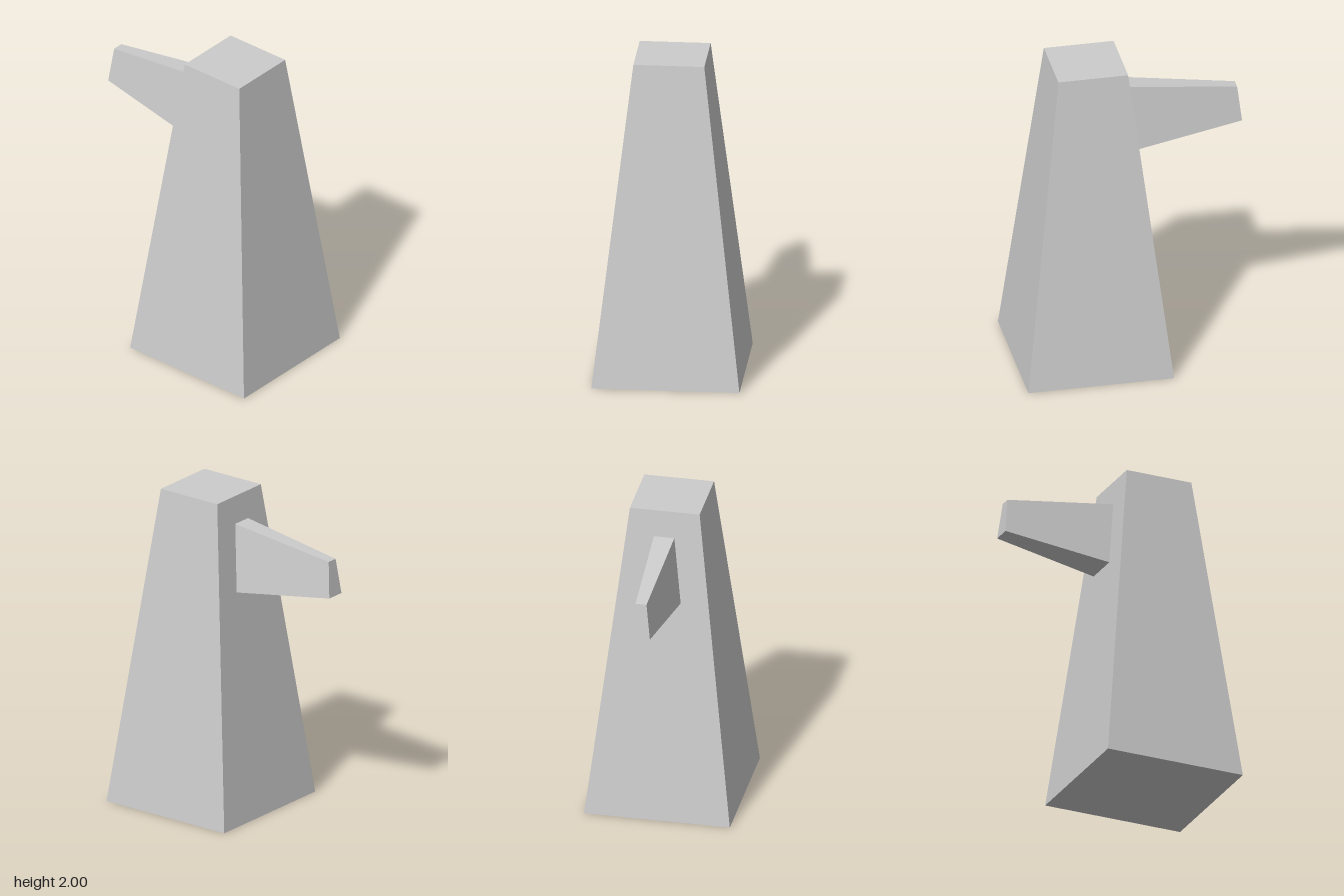
import * as THREE from 'three';

const material = new THREE.MeshStandardMaterial({ color: 0xcccccc, flatShading: true });

// A unit box whose corners (each coordinate -1 or 1) are moved by a rule.
function shapedBox(name, rule) {
  const geometry = new THREE.BoxGeometry(2, 2, 2);
  const pos = geometry.attributes.position;
  for (let i = 0; i < pos.count; i++) {
    pos.setXYZ(i, ...rule(pos.getX(i), pos.getY(i), pos.getZ(i)));
  }
  geometry.computeVertexNormals();
  const mesh = new THREE.Mesh(geometry, material);
  mesh.name = name;
  return mesh;
}

export function createModel() {
  const model = new THREE.Group();
  model.name = 'taperedTower';

  // Square tower, narrowing upwards
  const towerX = 0.25;
  model.add(shapedBox('tower', (x, y, z) => {
    const half = y > 0 ? 0.215 : 0.449;
    return [towerX + x * half, y > 0 ? 2 : 0, z * half];
  }));

  // Side arm, its root lying on the sloping wall and its tip smaller
  const root = { top: [0.016, 1.832, 0.063], bottom: [-0.033, 1.415, 0.112] };
  const tip = { top: [-0.675, 1.738, 0.034], bottom: [-0.7, 1.515, 0.06] };
  model.add(shapedBox('arm', (x, y, z) => {
    const section = x > 0 ? root : tip;
    const [px, py, half] = y > 0 ? section.top : section.bottom;
    return [px, py, z * half];
  }));

  return model;
}
